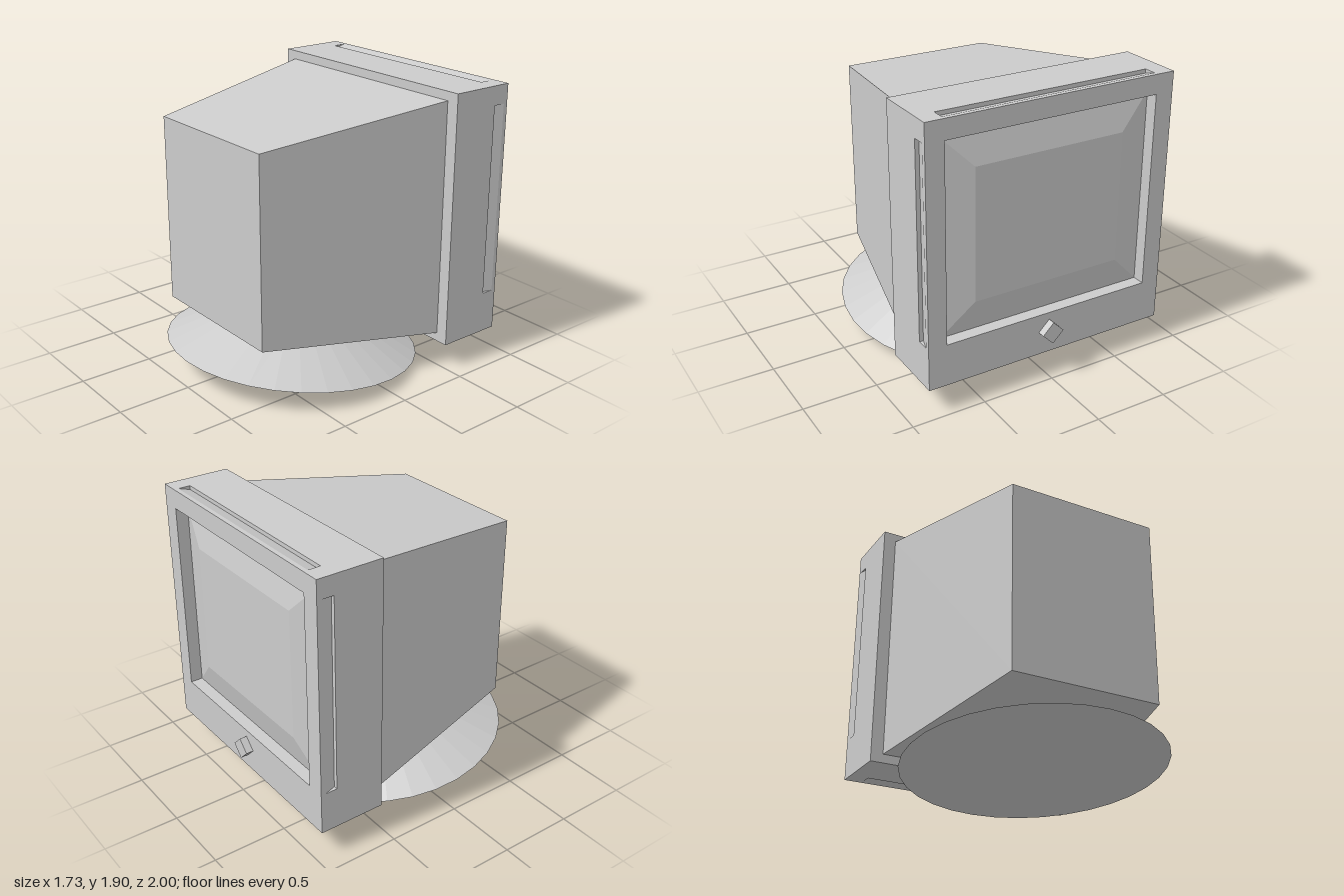
import * as THREE from 'three';

const material = new THREE.MeshStandardMaterial({ color: 0xcccccc, flatShading: true });

// Corners counter-clockwise as seen from +z: bottom left, bottom right, top right, top left
const rect = (x, y0, y1) => [[-x, y0], [x, y0], [x, y1], [-x, y1]];
const at = (p, z) => [p[0], p[1], z];

// Collects flat polygons (3 or 4 corners) into one faceted mesh
function faceBuilder() {
  const data = [];
  const face = (...p) => {
    for (let i = 1; i < p.length - 1; i++) data.push(...p[0], ...p[i], ...p[i + 1]);
  };
  const mesh = (name) => {
    const g = new THREE.BufferGeometry();
    g.setAttribute('position', new THREE.Float32BufferAttribute(data, 3));
    g.computeVertexNormals();
    const m = new THREE.Mesh(g, material);
    m.name = name;
    return m;
  };
  return { face, mesh };
}

// Bezel and screen planes along z
const zFace = -0.95, zRear = -0.495, zGlassEdge = -0.865, zGlass = -0.915;
const zSlotOuter = -0.92, zSlotWall = -0.835, slotDepth = 0.027;
const outer = rect(0.86, 0.18, 1.905);
const opening = rect(0.735, 0.465, 1.775);

function makeBezel() {
  const { face, mesh } = faceBuilder();
  const strip = (a, b, z0, z1) => face(at(a, z0), at(b, z0), at(b, z1), at(a, z1));
  const inward = [[0, 1], [-1, 0], [0, -1], [1, 0]];

  for (let k = 0; k < 4; k++) {
    const n = (k + 1) % 4;
    const a = outer[k], b = outer[n], i = opening[k], j = opening[n];
    // Slot ends on the surface and at the bottom of the slot
    const onSide = (p) => (k % 2 ? [a[0], p[1]] : [p[0], a[1]]);
    const sink = (p) => [p[0] + inward[k][0] * slotDepth, p[1] + inward[k][1] * slotDepth];
    const s = onSide(i), t = onSide(j), sIn = sink(s), tIn = sink(t);

    // Outer side around the slot
    strip(a, b, zSlotWall, zRear);
    strip(a, b, zFace, zSlotOuter);
    strip(a, s, zSlotOuter, zSlotWall);
    strip(t, b, zSlotOuter, zSlotWall);
    // Wedge-shaped slot: ramp, wall and two ends
    face(at(s, zSlotOuter), at(t, zSlotOuter), at(tIn, zSlotWall), at(sIn, zSlotWall));
    face(at(s, zSlotWall), at(sIn, zSlotWall), at(tIn, zSlotWall), at(t, zSlotWall));
    face(at(s, zSlotOuter), at(sIn, zSlotWall), at(s, zSlotWall));
    face(at(t, zSlotOuter), at(t, zSlotWall), at(tIn, zSlotWall));
    // Frame around the screen and walls of the opening
    face(at(a, zFace), at(i, zFace), at(j, zFace), at(b, zFace));
    strip(j, i, zFace, zGlassEdge);
  }
  face(...outer.map((p) => at(p, zRear)));
  return mesh('bezel');
}

// Raised flat pane with sloping edges
function makeScreen() {
  const { face, mesh } = faceBuilder();
  const pane = rect(0.52, 0.68, 1.56);
  for (let k = 0; k < 4; k++) {
    const n = (k + 1) % 4;
    face(at(opening[k], zGlassEdge), at(pane[k], zGlass), at(pane[n], zGlass), at(opening[n], zGlassEdge));
  }
  face(...pane.map((p) => at(p, zGlass)).reverse());
  return mesh('screen');
}

// Tapering housing behind the bezel
function makeHousing() {
  const { face, mesh } = faceBuilder();
  const wide = rect(0.775, 0.24, 1.845), narrow = rect(0.525, 0.403, 1.682);
  const zEnd = 0.775;
  for (let k = 0; k < 4; k++) {
    const n = (k + 1) % 4;
    face(at(wide[k], zRear), at(wide[n], zRear), at(narrow[n], zEnd), at(narrow[k], zEnd));
  }
  face(...narrow.map((p) => at(p, zEnd)));
  return mesh('housing');
}

export function createModel() {
  const model = new THREE.Group();
  model.name = 'monitor';
  model.add(makeBezel(), makeScreen(), makeHousing());

  // Diamond-shaped knob under the screen
  const side = 0.076 * Math.SQRT2;
  const knob = new THREE.Mesh(new THREE.BoxGeometry(side, side, 0.06), material);
  knob.name = 'knob';
  knob.rotation.z = Math.PI / 4;
  knob.position.set(0, 0.34, -0.97);
  model.add(knob);

  // Tilted conical foot
  const height = 0.22;
  const footGeometry = new THREE.CylinderGeometry(0.425, 0.863, height, 32);
  footGeometry.translate(0, height / 2, 0);
  const foot = new THREE.Mesh(footGeometry, material);
  foot.name = 'foot';
  foot.rotation.x = -0.11;
  foot.position.set(0, 0.097, 0.142);
  model.add(foot);

  return model;
}
